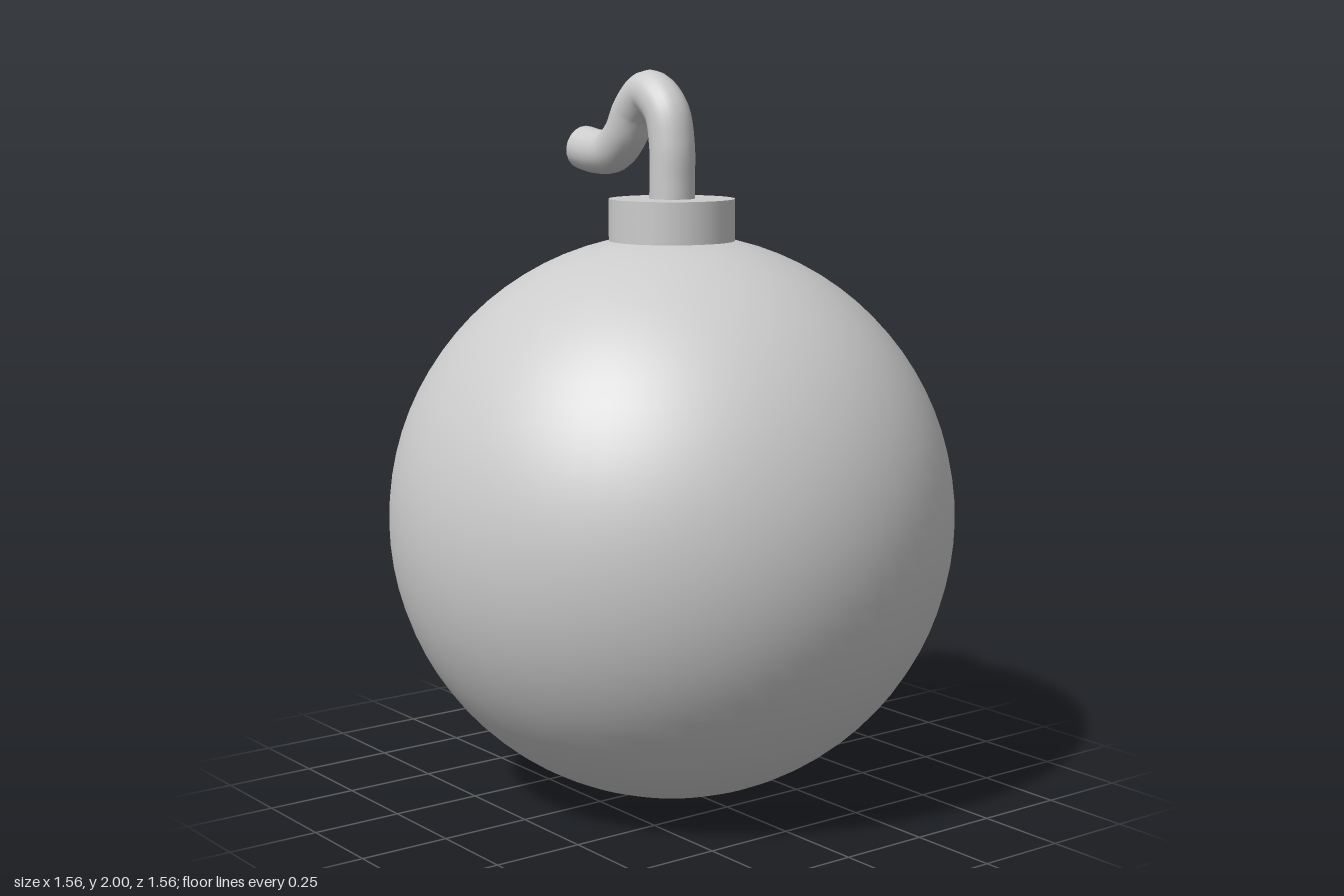
import * as THREE from 'three';

const material = new THREE.MeshStandardMaterial({ color: 0xcccccc });

function addPart(group, name, geometry, position = [0, 0, 0]) {
  const mesh = new THREE.Mesh(geometry, material);
  mesh.name = name;
  mesh.position.set(...position);
  group.add(mesh);
  return mesh;
}

export function createModel() {
  const model = new THREE.Group();
  model.name = 'roundBomb';

  // Round body and the short collar sunk into its top
  const radius = 0.78;
  addPart(model, 'body', new THREE.SphereGeometry(radius, 64, 40), [0, radius, 0]);
  addPart(model, 'collar', new THREE.CylinderGeometry(0.172, 0.172, 0.155, 32), [0, 1.577, 0]);

  // Fuse: rises from the collar, arches over and trails off to one side
  const fuseRadius = 0.062;
  const path = new THREE.CatmullRomCurve3([
    [0, 1.6], [0.001, 1.7], [0, 1.8], [-0.025, 1.89], [-0.1, 1.938],
    [-0.165, 1.895], [-0.21, 1.825], [-0.27, 1.777], [-0.34, 1.77], [-0.412, 1.78],
  ].map(([x, y]) => new THREE.Vector3(x, y, 0)));
  addPart(model, 'fuse', new THREE.TubeGeometry(path, 48, fuseRadius, 20));

  // Flat cut end of the fuse
  const end = addPart(model, 'fuseEnd', new THREE.CircleGeometry(fuseRadius, 20), path.getPoint(1).toArray());
  end.quaternion.setFromUnitVectors(new THREE.Vector3(0, 0, 1), path.getTangent(1));

  return model;
}
